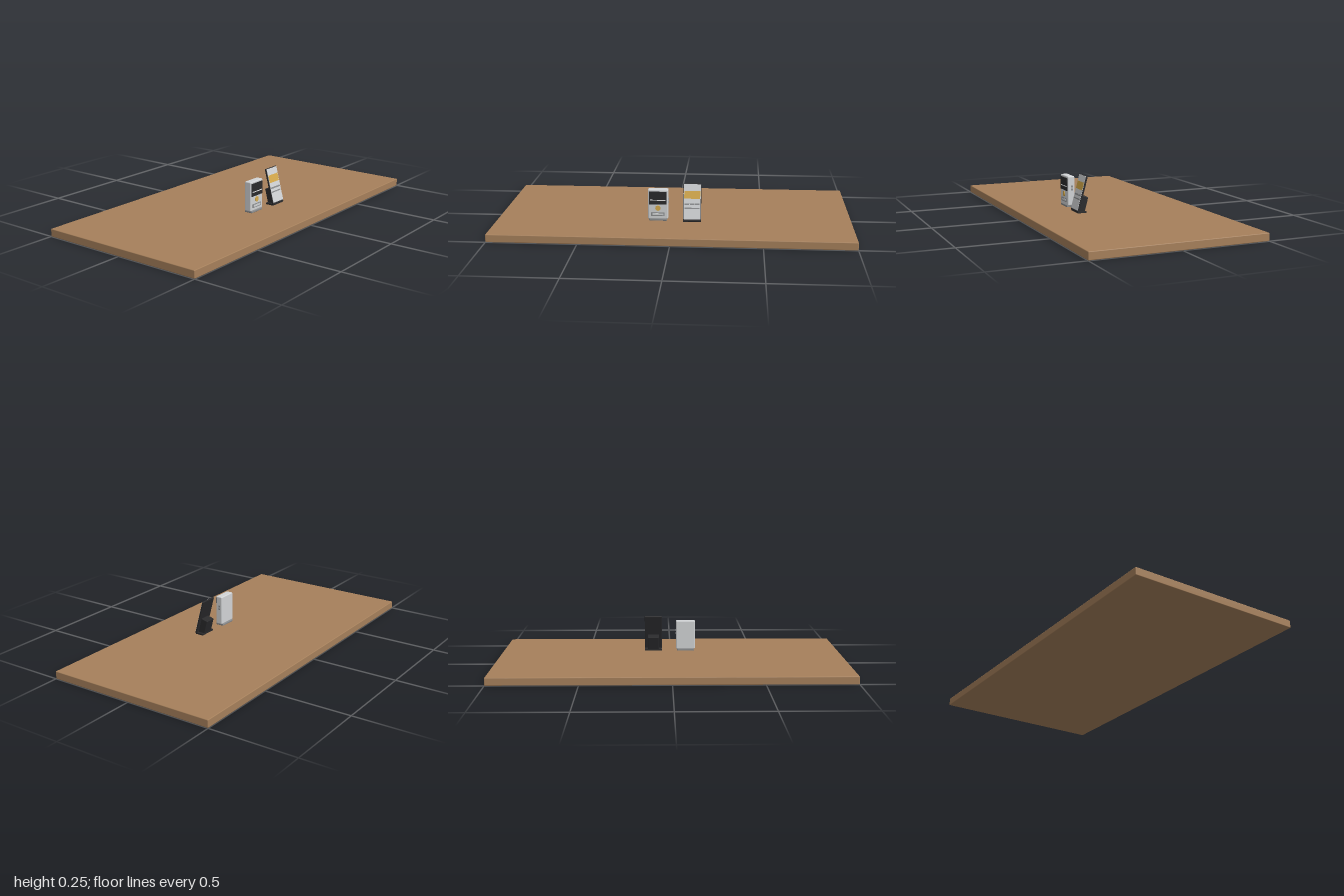
import * as THREE from 'three';
import { RoundedBoxGeometry } from 'three/addons/geometries/RoundedBoxGeometry.js';

const mat = (name, color) => {
  const m = new THREE.MeshStandardMaterial({ color });
  m.name = name;
  return m;
};

export function createModel() {
  const wood = mat('wood', 0xa6805b);
  const casing = mat('light casing', 0xd2d4d6);
  const black = mat('black plastic', 0x2a2a2c);
  const yellow = mat('yellow', 0xd8ac4c);
  const grey = mat('grey', 0x8c8e90);
  const white = mat('white', 0xf0f0f0);

  const add = (parent, name, geometry, material, x, y, z) => {
    const mesh = new THREE.Mesh(geometry, material);
    mesh.name = name;
    mesh.position.set(x, y, z);
    parent.add(mesh);
    return mesh;
  };
  const box = (w, h, d) => new THREE.BoxGeometry(w, h, d);
  const rounded = (w, h, d, r) => new RoundedBoxGeometry(w, h, d, 2, r);

  const model = new THREE.Group();
  model.name = 'deskWithDevices';

  // Table top, resting on the ground
  add(model, 'tableTop', rounded(2, 0.044, 1, 0.004), wood, 0, 0.022, 0);

  // Upright device with a screen, round key and slot
  const meter = new THREE.Group();
  meter.name = 'uprightDevice';
  meter.position.set(-0.088, 0.044, 0.17);
  model.add(meter);
  add(meter, 'foot', rounded(0.1, 0.012, 0.05, 0.003), grey, 0, 0.006, 0);
  add(meter, 'body', rounded(0.114, 0.171, 0.042, 0.006), casing, 0, 0.0955, 0.001);
  add(meter, 'screen', box(0.098, 0.074, 0.004), black, 0, 0.133, 0.0235);
  add(meter, 'screenLine', box(0.086, 0.005, 0.001), white, 0, 0.121, 0.026);
  add(meter, 'roundKey', new THREE.CylinderGeometry(0.015, 0.015, 0.004, 24), yellow, 0, 0.074, 0.0235)
    .rotation.x = Math.PI / 2;
  add(meter, 'slot', box(0.076, 0.021, 0.003), grey, 0, 0.039, 0.023);
  add(meter, 'slotInset', box(0.064, 0.011, 0.001), casing, 0, 0.039, 0.025);
  // Side keys
  for (const y of [0.105, 0.122])
    add(meter, 'sideKey', box(0.003, 0.011, 0.011), grey, 0.058, y, -0.003);

  // Leaning device: slim slab on a holder, tilted backwards
  const handset = new THREE.Group();
  handset.name = 'leaningDevice';
  handset.position.set(0.104, 0.047, 0.204);
  handset.rotation.x = -THREE.MathUtils.degToRad(15);
  model.add(handset);
  add(handset, 'slab', rounded(0.102, 0.212, 0.011, 0.003), black, 0, 0.107, 0);
  add(handset, 'holder', rounded(0.066, 0.097, 0.046, 0.003), black, 0, 0.0485, -0.023);
  add(handset, 'frontPanel', box(0.096, 0.198, 0.002), casing, 0, 0.111, 0.006);
  add(handset, 'yellowBand', box(0.09, 0.044, 0.001), yellow, 0, 0.15, 0.0073);
  // Printed rows
  for (const x of [-0.029, 0, 0.029])
    add(handset, 'upperRow', box(0.026, 0.009, 0.001), grey, x, 0.097, 0.0073);
  add(handset, 'lowerRow', box(0.084, 0.007, 0.001), grey, 0, 0.074, 0.0073);
  // Flat foot under the slab
  add(model, 'leaningFoot', box(0.1, 0.009, 0.05), black, 0.104, 0.0485, 0.18);

  return model;
}
